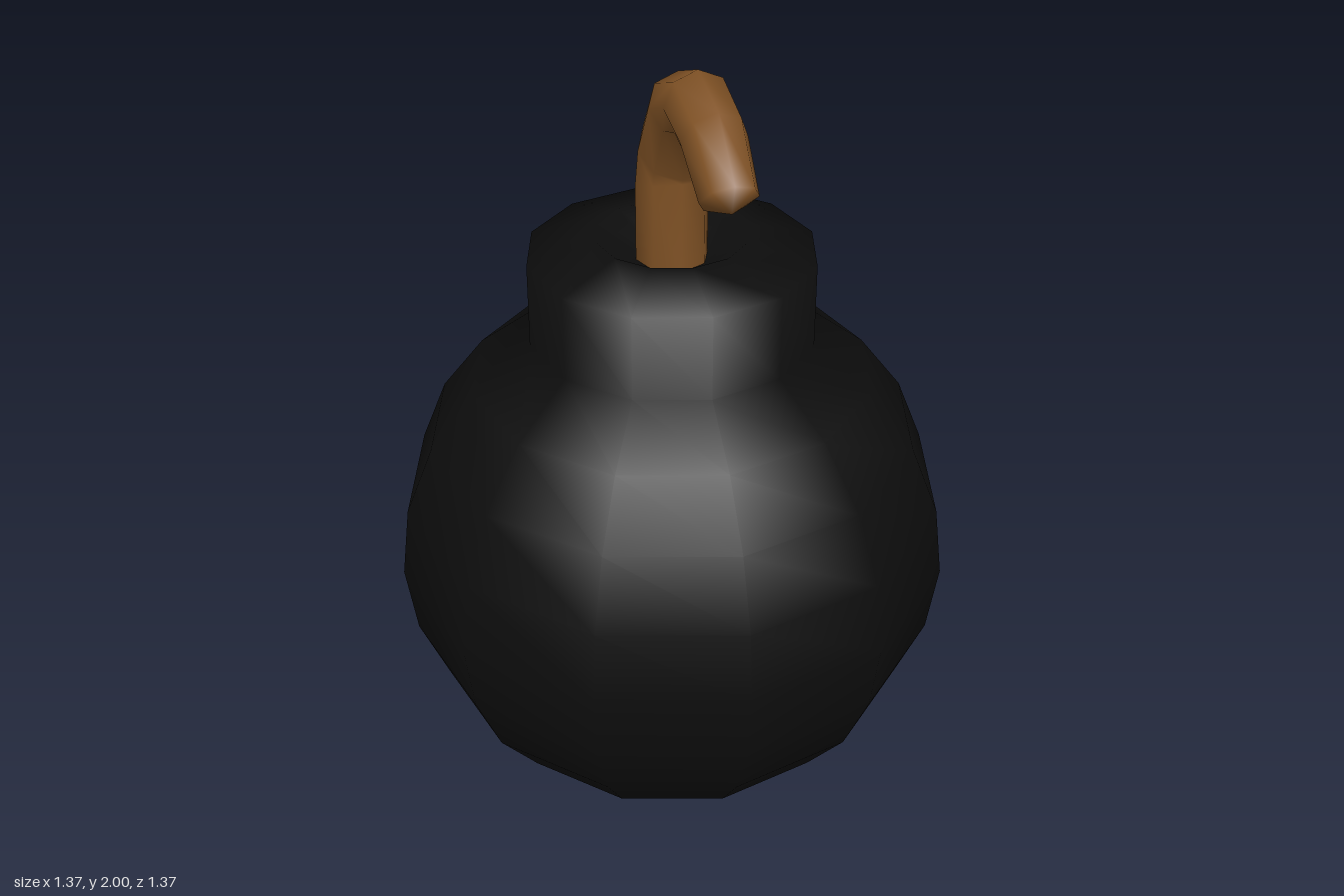
import * as THREE from 'three';

const SIDES = 8;

// Tapering bent tube: each ring is [outer z, outer y, inner z, inner y, half width]
function createFuseGeometry(rings, tip) {
  const positions = [];
  const indices = [];
  for (const [oz, oy, iz, iy, w] of rings) {
    for (let i = 0; i < SIDES; i++) {
      const t = (i / SIDES) * Math.PI * 2;
      const c = Math.cos(t) / 2;
      positions.push(w * Math.sin(t), (oy + iy) / 2 + (oy - iy) * c, (oz + iz) / 2 + (oz - iz) * c);
    }
  }
  for (let r = 0; r < rings.length - 1; r++) {
    for (let i = 0; i < SIDES; i++) {
      const a = r * SIDES + i;
      const b = r * SIDES + ((i + 1) % SIDES);
      indices.push(a, a + SIDES, b + SIDES, a, b + SIDES, b);
    }
  }
  // Rounded end
  const last = (rings.length - 1) * SIDES;
  const pole = rings.length * SIDES;
  positions.push(0, tip[1], tip[0]);
  for (let i = 0; i < SIDES; i++) indices.push(last + i, pole, last + ((i + 1) % SIDES));

  const geometry = new THREE.BufferGeometry();
  geometry.setAttribute('position', new THREE.Float32BufferAttribute(positions, 3));
  geometry.setIndex(indices);
  geometry.computeVertexNormals();
  return geometry;
}

export function createModel() {
  const model = new THREE.Group();
  model.name = 'bomb';

  const black = new THREE.MeshStandardMaterial({ color: 0x0d0d0d });
  black.name = 'black';
  const brown = new THREE.MeshStandardMaterial({ color: 0x805225 });
  brown.name = 'brown';

  // Round body, in 15 degree steps up to the neck, then the neck and its sunken top
  const profile = [];
  const R = 0.686;
  for (let i = 0; i <= 10; i++) {
    const a = (i * Math.PI) / 12;
    profile.push(new THREE.Vector2(R * Math.sin(a), 0.69 - R * Math.cos(a)));
  }
  profile[0].set(0, 0);
  for (const [r, y] of [[0.342, 1.49], [0.18, 1.53], [0.09, 1.475], [0, 1.46]]) {
    profile.push(new THREE.Vector2(r, y));
  }
  const body = new THREE.Mesh(new THREE.LatheGeometry(profile, 12), black);
  body.name = 'body';
  model.add(body);

  // Fuse curling forward
  const fuse = new THREE.Mesh(createFuseGeometry([
    [-0.087, 1.45, 0.087, 1.45, 0.086],
    [-0.087, 1.63, 0.088, 1.69, 0.086],
    [-0.05, 1.80, 0.09, 1.70, 0.084],
    [0.05, 1.94, 0.152, 1.825, 0.08],
    [0.205, 2.0, 0.22, 1.85, 0.076],
    [0.357, 1.965, 0.30, 1.83, 0.072],
    [0.478, 1.858, 0.40, 1.768, 0.064],
  ], [0.46, 1.79]), brown);
  fuse.name = 'fuse';
  model.add(fuse);

  return model;
}
